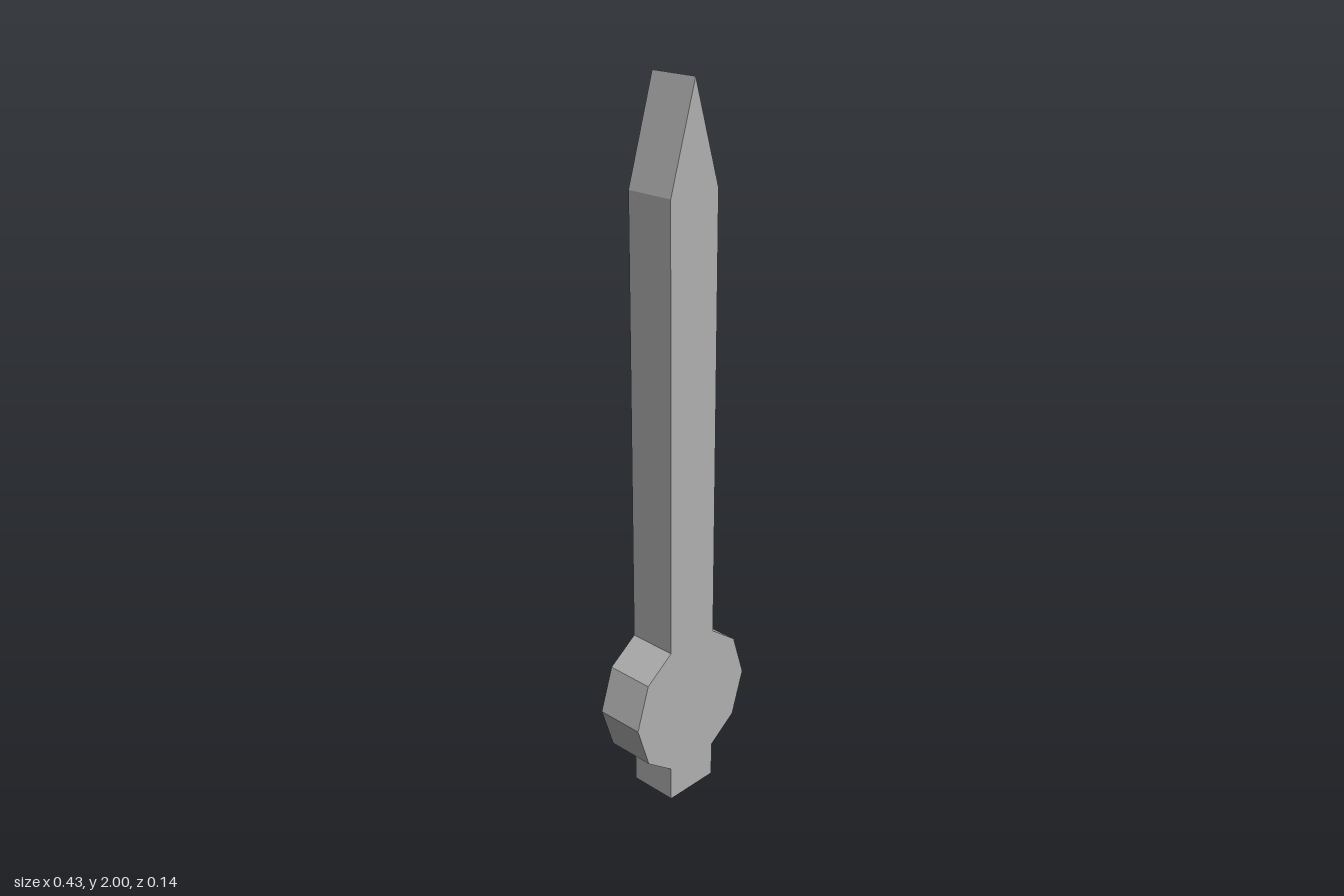
import * as THREE from 'three';

export function createModel() {
  const group = new THREE.Group();
  group.name = 'clockHand';
  const grey = new THREE.MeshStandardMaterial({ color: 0xb0b0b0 });
  grey.name = 'grey';

  // right half of the outline: tail, ten-sided hub, long bar, pointed tip
  const depth = 0.142, w = 0.084, r = 0.213, hubY = 0.29;
  const hub = (deg) => {
    const a = THREE.MathUtils.degToRad(deg);
    return [r * Math.cos(a), hubY + r * Math.sin(a)];
  };
  const half = [[w, 0], [w, 0.101], hub(-36), hub(0), hub(36), [w, 0.479], [w, 1.725]];
  const mirrored = half.map(([x, y]) => [-x, y]).reverse();
  const outline = [...half, [0, 2], ...mirrored].map(([x, y]) => new THREE.Vector2(x, y));

  const geometry = new THREE.ExtrudeGeometry(new THREE.Shape(outline), { depth, bevelEnabled: false });
  geometry.translate(0, 0, -depth / 2);
  const hand = new THREE.Mesh(geometry, grey);
  hand.name = 'hand';
  group.add(hand);
  return group;
}
